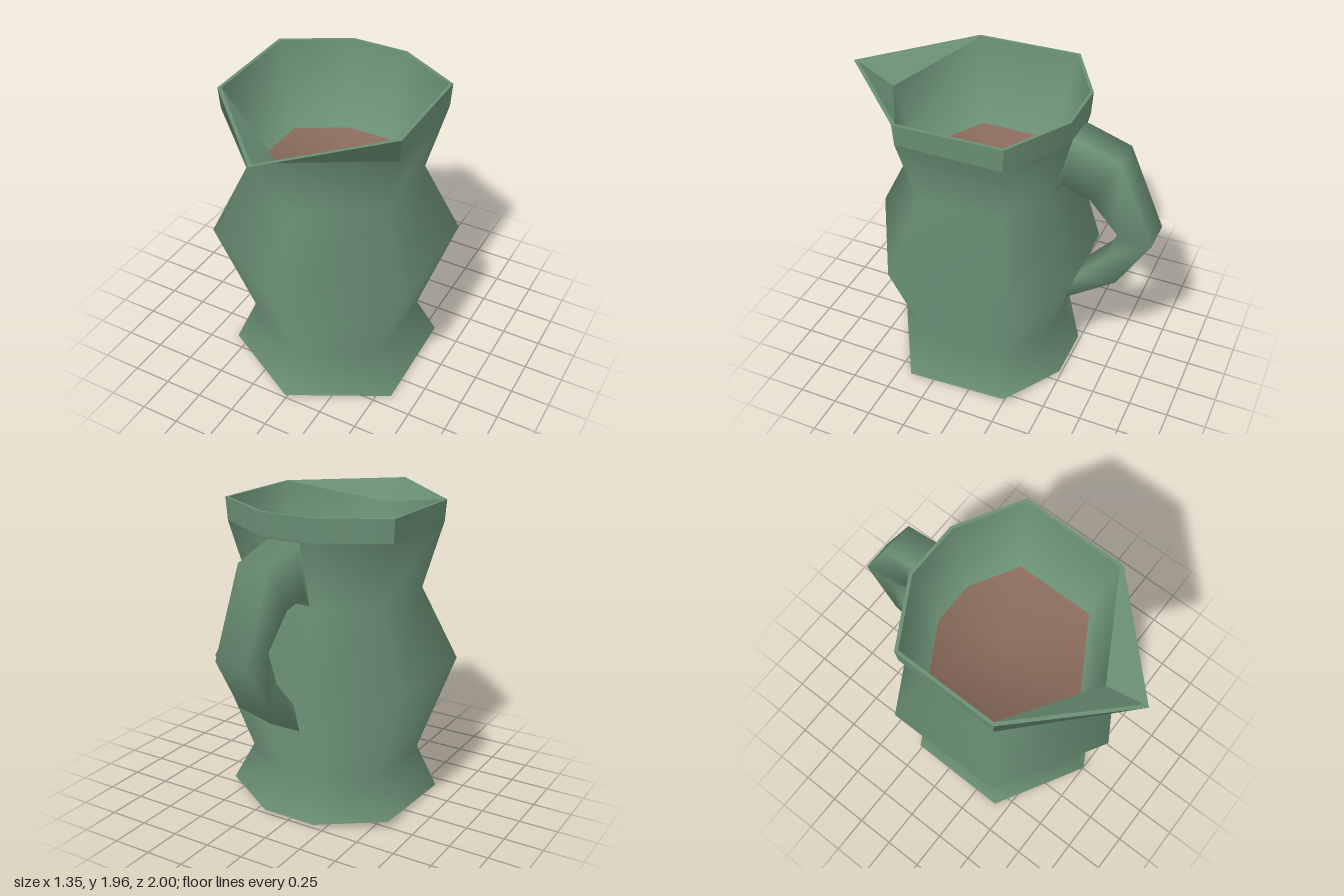
import * as THREE from 'three';

const CENTRE_Z = 0.08;
// Seven-sided outline: front corner, left side, flattened back, right side
const OUTLINE = [
  [0, 0.78], [0.675, 0.385], [0.675, -0.39], [0.21, -0.655],
  [-0.21, -0.655], [-0.675, -0.39], [-0.675, 0.385],
];

// One ring of the jug; y may be a number or one value per corner
function ring(scale, y, frontZ) {
  return OUTLINE.map(([x, z], i) => [
    x * scale,
    Array.isArray(y) ? y[i] : y,
    i === 0 && frontZ !== undefined ? frontZ : CENTRE_Z + z * scale,
  ]);
}

// Joins rings into a skin, smooth between its faces; an end cap gets material group 1
function loft(rings, { closed = true, endCap = false } = {}) {
  const n = rings[0].length;
  const points = rings.flat().map((p) => new THREE.Vector3(...p));
  const normals = points.map(() => new THREE.Vector3());
  const index = [];
  const addNormal = (u, v, corners) => {
    const normal = u.cross(v).normalize();
    corners.forEach((k) => normals[k].add(normal));
  };
  for (let r = 0; r < rings.length - 1; r++) {
    for (let i = 0; i < (closed ? n : n - 1); i++) {
      const a = r * n + i, b = r * n + (i + 1) % n, c = b + n, d = a + n;
      index.push(a, b, c, a, c, d);
      addNormal(points[c].clone().sub(points[a]), points[d].clone().sub(points[b]), [a, b, c, d]);
    }
  }
  const wallCount = index.length;
  if (endCap) {
    const first = (rings.length - 1) * n;
    const middle = new THREE.Vector3();
    points.slice(first).forEach((p) => middle.addScaledVector(p, 1 / n));
    const m = points.push(middle) - 1;
    normals.push(new THREE.Vector3());
    for (let i = 0; i < n; i++) {
      const a = first + i, b = first + (i + 1) % n;
      index.push(a, b, m);
      addNormal(points[b].clone().sub(points[a]), middle.clone().sub(points[a]), [a, b, m]);
    }
  }

  const flat = (list) => new THREE.Float32BufferAttribute(list.flatMap((v) => v.toArray()), 3);
  const geometry = new THREE.BufferGeometry();
  geometry.setAttribute('position', flat(points));
  geometry.setAttribute('normal', flat(normals.map((v) => v.normalize())));
  geometry.setIndex(index);
  if (endCap) {
    geometry.addGroup(0, wallCount, 0);
    geometry.addGroup(wallCount, index.length - wallCount, 1);
  }
  return geometry;
}

// Part of a band between two rings, limited to the given corners
function panel(lower, upper, corners) {
  return loft([lower, upper].map((r) => corners.map((i) => r[i])), { closed: false });
}

export function createModel() {
  const group = new THREE.Group();
  const green = new THREE.MeshStandardMaterial({ color: 0x6a8f73 });
  green.name = 'greenGlaze';
  const brown = new THREE.MeshStandardMaterial({ color: 0x886a5b, side: THREE.DoubleSide });
  brown.name = 'brownDrink';

  const add = (name, geometry, material = green) => {
    const mesh = new THREE.Mesh(geometry, material);
    mesh.name = name;
    group.add(mesh);
  };

  // Shared rings, slightly uneven at the foot and the rim
  const foot = ring(0.867, [0.03, 0, 0.045, 0.015, 0.015, 0.045, 0]);
  const lipBase = ring(0.855, 1.81);
  const rimHeights = [1.93, 1.945, 1.955, 1.955, 1.955, 1.955, 1.945];
  const rimOuter = ring(0.868, rimHeights, 0.995);
  const rimInner = ring(0.838, rimHeights, 0.965);
  const innerNeck = ring(0.665, 1.39);
  // Mouth opening: the inner rim with its front corner dropped below the spout
  const mouth = rimInner.map((p, i) => (i === 0 ? [0, 1.81, 0.73] : p));

  // Outer wall: flared foot, waist, belly, neck
  add('body', loft([foot, ring(0.696, 0.29), ring(1, 0.92), ring(0.696, 1.39), lipBase]));

  // Lip: two spout cheeks, two flat sides and a rounded back
  [[0, 1], [6, 0]].forEach((corners) => {
    add('spoutCheek', panel(lipBase, rimOuter, corners));
    add('spoutFloor', panel(rimInner, mouth, corners));
  });
  [[1, 2], [5, 6]].forEach((corners) => add('lipSide', panel(lipBase, rimOuter, corners)));
  add('lipBack', panel(lipBase, rimOuter, [2, 3, 4, 5]));
  add('rim', loft([rimOuter, rimInner]));

  // Inside of the neck with the brown surface across it
  add('neckInterior', loft([mouth, innerNeck], { endCap: true }), [green, brown]);

  // Inside of the belly, open under the foot
  add('bellyInterior', loft([innerNeck, ring(0.965, 0.92), ring(0.665, 0.29), foot]));

  // Handle stations from bottom to top: centre x, outer y, z and inner y, z
  const half = 0.104;
  const stations = [
    [0.02, 0.62, -0.47, 0.80, -0.52],
    [0.02, 0.86, -0.80, 1.02, -0.715],
    [0.025, 1.21, -1.00, 1.23, -0.785],
    [0.02, 1.72, -0.77, 1.43, -0.60],
    [0.01, 1.80, -0.50, 1.47, -0.43],
    [0.01, 1.80, -0.465, 1.39, -0.372],
  ];
  add('handle', loft(stations.map(([x, oy, oz, iy, iz]) => [
    [x - half, iy, iz], [x + half, iy, iz],
    [x + half, oy, oz], [x - half, oy, oz],
  ])));

  return group;
}
